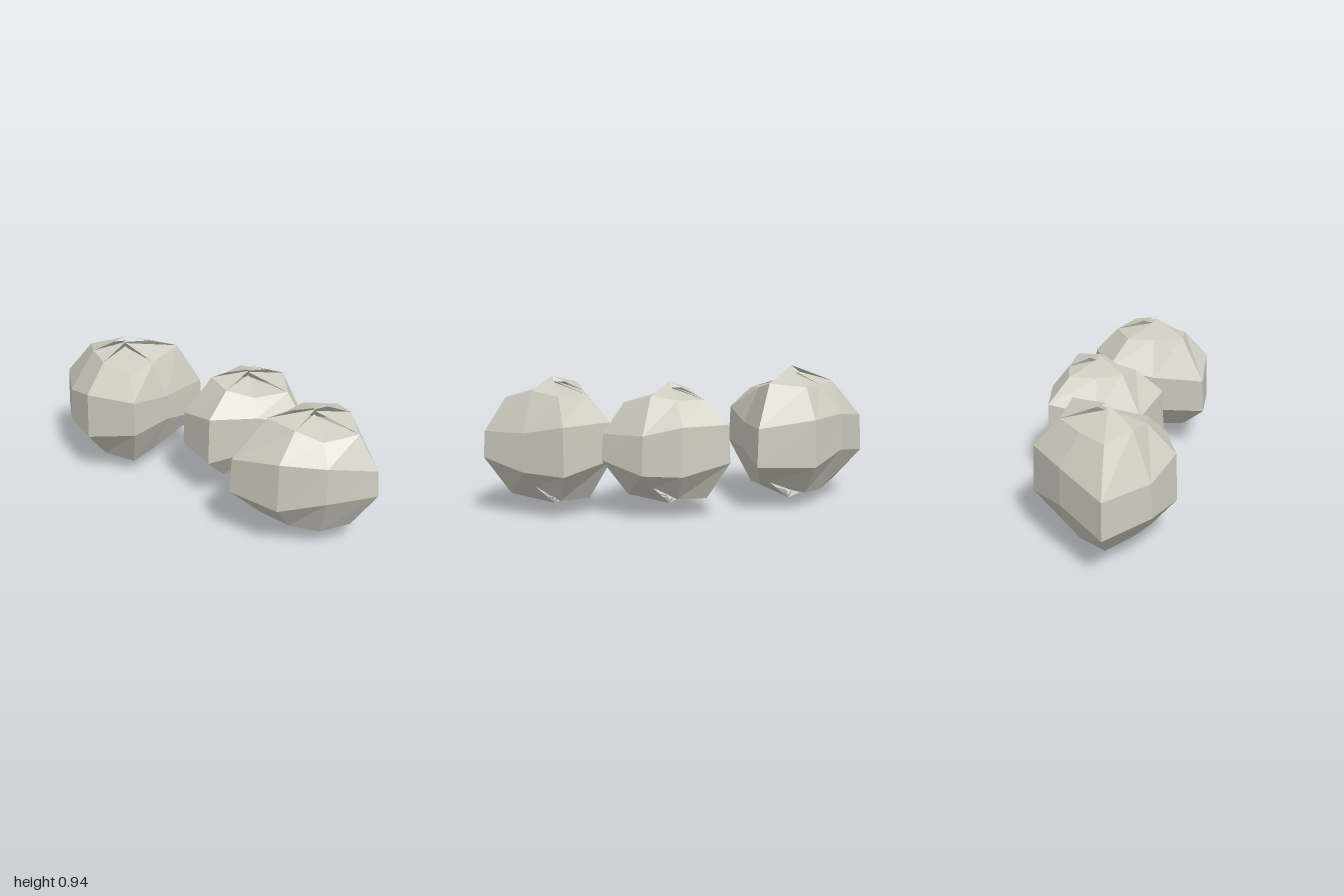
import * as THREE from 'three';

// Corner rules shared by all rocks (columns run from -x through +z)
const UPPER = [0.56, 0.63, 0.62, 0.558, 0.567, 0.625, 0.625, 0.565];
const LOWER = [0.33, 0.31, 0.38, 0.385, 0.313, 0.308, 0.378, 0.315];
const CAP_RADIUS = [0.56, 0.56, 0.65, 0.67, 0.67, 0.62, 0.58, 0.57];
const CAP_DIP = [0, 0.03, 0.085, 0.055, 0, 0.03, 0.035, 0.03];
const FOOT_RISE = [0.05, 0.03, 0, 0.02, 0.085, 0.01, 0, 0.03];
// How far each polar facet's tip sinks in, giving the cracked caps
const TOP_DROP = [0.04, 0.07, 0.08, 0.05, 0, 0.04, 0.03, 0];
const BASE_DROP = [0.02, 0.05, 0.04, 0, 0.06, 0.05, 0.03, 0];

// Eight-sided boulder: four rings, plus separately tipped cap facets
function rockGeometry({ radii, top, base, ringTop, ringBase }) {
  const n = 8;
  const corner = (ring, k) => {
    const c = k % n;
    const a = (c / n) * Math.PI * 2;
    const r = radii[c] * [CAP_RADIUS[c], 0.975, 1, 0.62][ring];
    const y = [ringTop - CAP_DIP[c], UPPER[c], LOWER[c], ringBase + FOOT_RISE[c]][ring];
    // diagonal corners lean slightly towards x
    const [sx, sz] = c % 2 ? [1.04, 0.96] : [1, 1];
    return [-Math.cos(a) * r * sx, y, Math.sin(a) * r * sz];
  };
  const pos = [];
  const tri = (...p) => p.forEach((v) => pos.push(...v));
  for (let k = 0; k < n; k++) {
    tri([0, top - TOP_DROP[k], 0], corner(0, k), corner(0, k + 1));
    for (let ring = 0; ring < 3; ring++) {
      const a = corner(ring, k), b = corner(ring, k + 1);
      const c = corner(ring + 1, k), d = corner(ring + 1, k + 1);
      tri(b, a, c);
      tri(b, c, d);
    }
    tri(corner(3, k + 1), corner(3, k), [0, base + BASE_DROP[k], 0]);
  }
  const g = new THREE.BufferGeometry();
  g.setAttribute('position', new THREE.Float32BufferAttribute(pos, 3));
  g.computeVertexNormals();
  return g;
}

export function createModel() {
  const group = new THREE.Group();
  group.name = 'rockCluster';
  const stone = new THREE.MeshStandardMaterial({
    color: 0xcccbbf, flatShading: true, side: THREE.DoubleSide,
  });
  stone.name = 'stoneGrey';

  const rocks = [
    { name: 'backRock', x: -0.495, z: -0.62, top: 0.94, base: 0, ringTop: 0.85, ringBase: 0.09,
      radii: [0.415, 0.425, 0.47, 0.355, 0.55, 0.485, 0.38, 0.56] },
    { name: 'middleRock', x: 0.29, z: -0.09, top: 0.88, base: 0.065, ringTop: 0.81, ringBase: 0.13,
      radii: [0.455, 0.45, 0.31, 0.46, 0.36, 0.34, 0.445, 0.335] },
    { name: 'frontRock', x: 0.56, z: 0.645, top: 0.905, base: 0.04, ringTop: 0.83, ringBase: 0.11,
      radii: [0.54, 0.395, 0.355, 0.465, 0.345, 0.46, 0.455, 0.36] },
  ];
  for (const r of rocks) {
    const mesh = new THREE.Mesh(rockGeometry(r), stone);
    mesh.name = r.name;
    mesh.position.set(r.x, 0, r.z);
    group.add(mesh);
  }
  return group;
}
